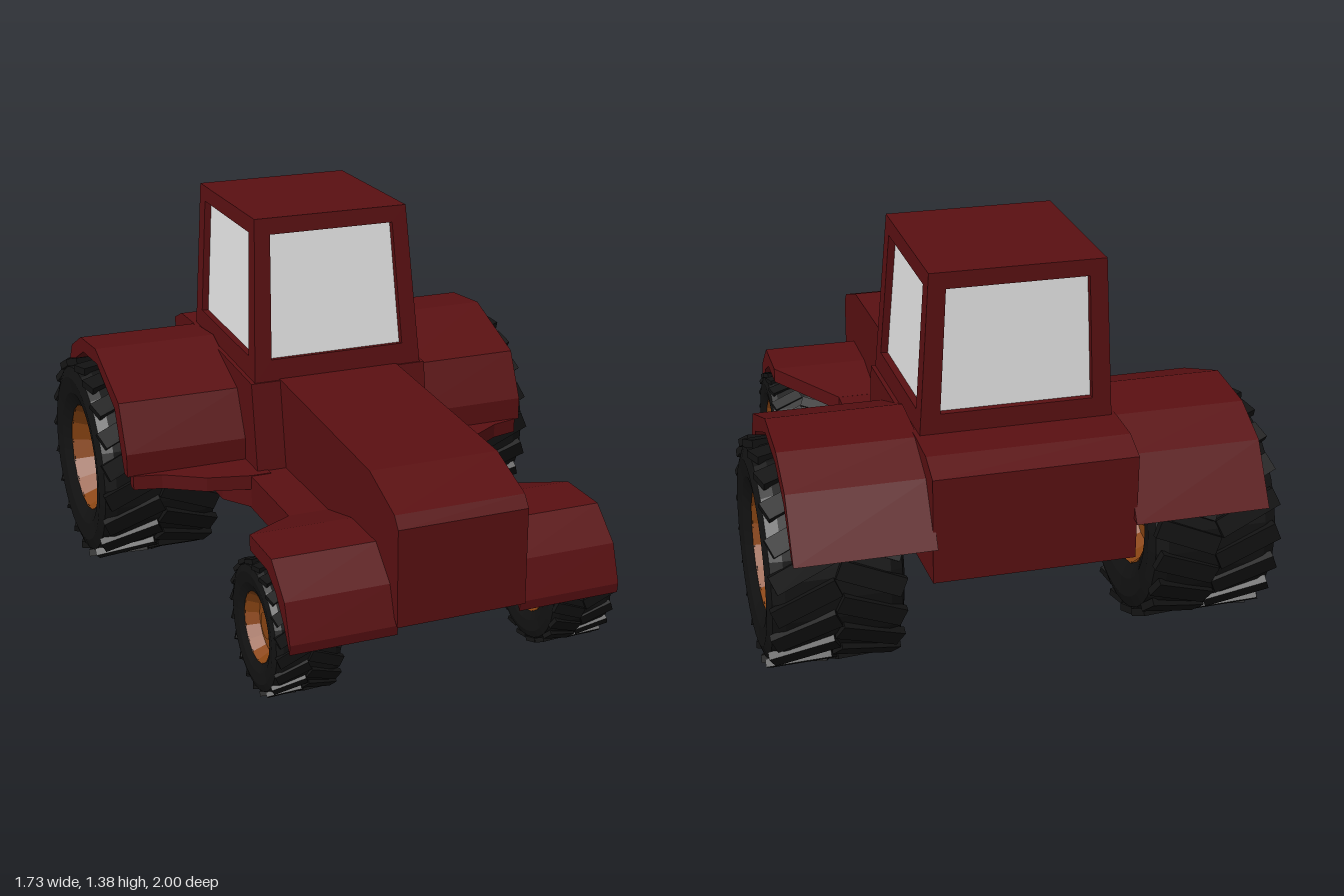
import * as THREE from 'three';
import { mergeGeometries } from 'three/addons/utils/BufferGeometryUtils.js';

const paint = (name, color) => {
  const m = new THREE.MeshStandardMaterial({ color });
  m.name = name;
  return m;
};

// Extrude a [z, y] side profile between two x positions
function sideExtrude(profile, x0, x1) {
  const shape = new THREE.Shape(profile.map(([z, y]) => new THREE.Vector2(-z, y)));
  return new THREE.ExtrudeGeometry(shape, { depth: x1 - x0, bevelEnabled: false })
    .rotateY(Math.PI / 2).translate(x0, 0, 0);
}

// Extrude an [x, z] plan outline between two heights
function planExtrude(outline, y0, y1, side) {
  const shape = new THREE.Shape(outline.map(([x, z]) => new THREE.Vector2(x * side, -z)));
  return new THREE.ExtrudeGeometry(shape, { depth: y1 - y0, bevelEnabled: false })
    .rotateX(-Math.PI / 2).translate(0, y0, 0);
}

// Faceted copy of a geometry
function flat(geometry) {
  const g = geometry.index ? geometry.toNonIndexed() : geometry;
  g.computeVertexNormals();
  return g;
}

// Quads, each given as four corners anticlockwise from outside
function quads(list) {
  const pts = list.flatMap(([a, b, c, d]) => [a, b, c, a, c, d]);
  const g = new THREE.BufferGeometry().setFromPoints(pts);
  g.computeVertexNormals();
  return g;
}

export function createModel() {
  const model = new THREE.Group();
  model.name = 'tractor';
  const red = paint('dark red bodywork', 0x5a1012);
  const black = paint('tyre black', 0x121212);
  const orange = paint('hub orange', 0x8a4513);
  const glass = paint('window grey', 0xf0f0f0);
  const steel = paint('axle grey', 0x444444);

  const add = (name, geometry, material, parent = model) => {
    const mesh = new THREE.Mesh(geometry, material);
    mesh.name = name;
    parent.add(mesh);
    return mesh;
  };

  // Hood, arched underneath over the front axle
  add('hood', sideExtrude([
    [1, 0.3], [1, 0.64], [0.97, 0.68], [0.77, 0.755], [-0.06, 0.8], [-0.06, 0.35],
    [0.41, 0.35], [0.5, 0.41], [0.6, 0.475], [0.78, 0.475], [0.86, 0.44], [0.94, 0.36],
  ], -0.23, 0.23), red);

  // Wider lower body with a ledge beside the hood
  add('lowerBody', sideExtrude([
    [0.41, 0.35], [0.41, 0.475], [-0.1, 0.475], [-0.1, 0.35],
  ], -0.375, 0.375), red);

  // Rear body under the cab
  add('rearBody', sideExtrude([
    [0.03, 0.35], [0.03, 0.42], [0, 0.475], [-0.05, 0.795], [-0.735, 0.83], [-0.88, 0.825],
    [-0.97, 0.785], [-0.97, 0.42], [-0.2, 0.36], [-0.1, 0.345],
  ], -0.34, 0.34), red);

  const frontFender = [
    [0.62, 0.475], [0.62, 0.53], [0.825, 0.53], [0.94, 0.43], [0.985, 0.3], [0.98, 0.265],
    [0.93, 0.35], [0.86, 0.43], [0.78, 0.475],
  ];
  const rearFender = [
    [-0.13, 0.475], [-0.13, 0.56], [-0.21, 0.73], [-0.51, 0.845], [-0.73, 0.825],
    [-0.88, 0.75], [-1, 0.555], [-0.96, 0.565], [-0.85, 0.7], [-0.7, 0.775],
    [-0.5, 0.79], [-0.27, 0.69], [-0.17, 0.475],
  ];
  for (const side of [1, -1]) {
    const label = side > 0 ? 'left' : 'right';
    const span = (a, b) => (side > 0 ? [a, b] : [-b, -a]);
    add(label + 'FrontFender', sideExtrude(frontFender, ...span(0.22, 0.59)), red);
    add(label + 'RearFender', sideExtrude(rearFender, ...span(0.33, 0.79)), red);

    // Tapered panel running back and down from the front fender
    const taper = planExtrude([[0.22, 0.62], [0.59, 0.62], [0.375, 0.41], [0.22, 0.41]], 0.475, 0.53, side);
    const p = taper.attributes.position;
    for (let i = 0; i < p.count; i++) p.setY(i, p.getY(i) + (p.getZ(i) - 0.62) * 0.26);
    add(label + 'FenderTaper', flat(taper), red);

    // Angled step in front of the rear wheel
    add(label + 'Step', planExtrude([
      [0.3, 0.03], [0.375, 0.03], [0.53, -0.01], [0.67, -0.1], [0.77, -0.125], [0.77, -0.165], [0.3, -0.165],
    ], 0.425, 0.478, side), red);
    add(label + 'StepSupport', planExtrude([
      [0.3, 0.03], [0.375, 0.03], [0.45, -0.08], [0.45, -0.18], [0.3, -0.18],
    ], 0.355, 0.43, side), red);
  }

  // Cab: four framed walls with recessed windows, and a roof
  const v = (x, y, z) => new THREE.Vector3(x, y, z);
  const low = [v(-0.325, 0.79, -0.055), v(0.325, 0.79, -0.055), v(0.325, 0.82, -0.735), v(-0.325, 0.82, -0.735)];
  const top = [v(-0.292, 1.38, -0.125), v(0.292, 1.38, -0.125), v(0.292, 1.38, -0.735), v(-0.292, 1.38, -0.735)];
  const cab = new THREE.Group();
  cab.name = 'cab';
  model.add(cab);
  ['front', 'left', 'rear', 'right'].forEach((label, i) => {
    const j = (i + 1) % 4;
    const outer = [low[i], low[j], top[j], top[i]];
    const at = (s, t) => low[i].clone().lerp(low[j], s).lerp(top[i].clone().lerp(top[j], s), t);
    const hole = [at(0.1, 0.14), at(0.9, 0.14), at(0.9, 0.9), at(0.1, 0.9)];
    const inward = low[j].clone().sub(low[i]).cross(top[i].clone().sub(low[i])).normalize().multiplyScalar(-0.025);
    const pane = hole.map((q) => q.clone().add(inward));
    const frame = [];
    for (let k = 0; k < 4; k++) {
      const n = (k + 1) % 4;
      frame.push([outer[k], outer[n], hole[n], hole[k]], [hole[k], hole[n], pane[n], pane[k]]);
    }
    add(label + 'WindowFrame', quads(frame), red, cab);
    add(label + 'Window', quads([pane]), glass, cab);
  });
  add('roof', quads([top]), red, cab);

  // Wheel: faceted tyre with staggered slanted lugs and a dished hub
  function wheel(name, R, W, x, y, z) {
    const group = new THREE.Group();
    group.name = name;
    group.position.set(x, y, z);
    if (x < 0) group.rotation.y = Math.PI;
    const lathe = (half, n) => {
      const lower = half.map(([r, h]) => new THREE.Vector2(r * R, -h * W));
      const upper = half.map(([r, h]) => new THREE.Vector2(r * R, h * W)).reverse();
      return new THREE.LatheGeometry([...lower, ...upper], n).rotateZ(-Math.PI / 2);
    };
    const parts = [lathe([[0.52, 0.42], [0.66, 0.48], [0.82, 0.5], [0.92, 0.47], [0.96, 0.38]], 32)];
    const count = 20;
    for (let i = 0; i < count; i++) {
      for (const s of [1, -1]) {
        const lug = new THREE.BoxGeometry(0.5 * W, 0.07 * R, 0.17 * R);
        lug.rotateY(s * 0.4).translate(s * 0.235 * W, 0.96 * R, 0);
        parts.push(lug.rotateX(((i + (s > 0 ? 0 : 0.5)) / count) * Math.PI * 2));
      }
    }
    add('tyre', flat(mergeGeometries(parts)), black, group);
    add('hub', flat(lathe([[0, 0.3], [0.2, 0.3], [0.21, 0.24], [0.42, 0.24], [0.53, 0.43]], 16)), orange, group);
    model.add(group);
  }
  for (const s of [1, -1]) {
    const label = s > 0 ? 'left' : 'right';
    wheel(label + 'RearWheel', 0.383, 0.45, s * 0.64, 0.395, -0.575);
    wheel(label + 'FrontWheel', 0.23, 0.235, s * 0.498, 0.233, 0.7);
  }

  // Axles
  const axle = (name, r, length, y, z) => add(name,
    flat(new THREE.CylinderGeometry(r, r, length, 10).rotateZ(Math.PI / 2).translate(0, y, z)), steel);
  axle('frontAxle', 0.032, 0.95, 0.235, 0.7);
  axle('rearAxle', 0.042, 1.2, 0.395, -0.575);

  return model;
}
